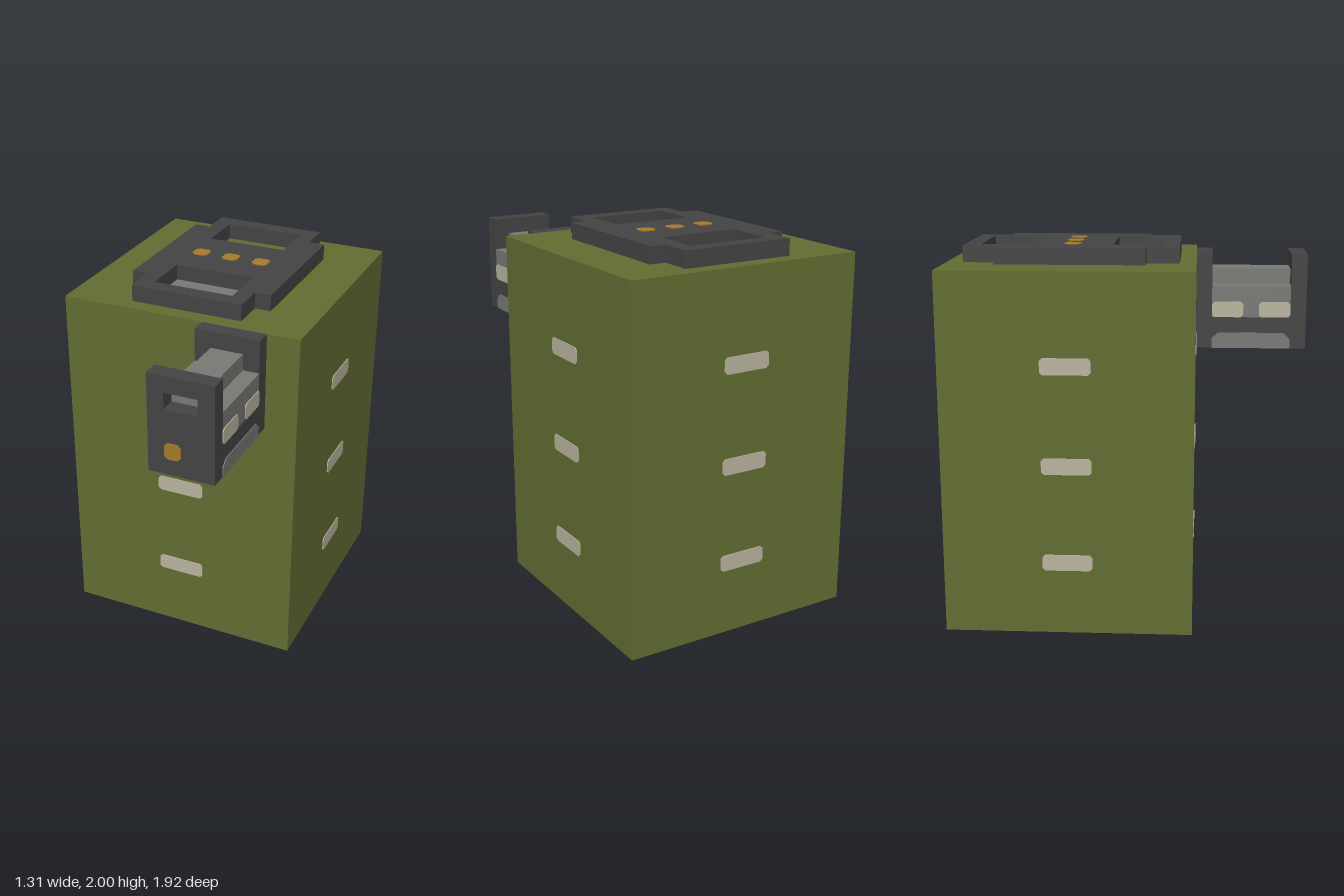
import * as THREE from 'three';

const U = 2 / 46; // modelling unit: the whole height is 46 units
const THIN = 0.1; // thickness of painted plates, in units

const paint = (name, hex) => {
  const m = new THREE.MeshStandardMaterial({ color: hex });
  m.name = name;
  return m;
};

export function createModel() {
  const olive = paint('olive', 0x626e33);
  const dark = paint('charcoal', 0x444444);
  const grey = paint('grey', 0x797a76);
  const beige = paint('beige', 0xbbb5a0);
  const amber = paint('amber', 0xa67b2b);

  const root = new THREE.Group();
  root.name = 'canister';
  const model = new THREE.Group();
  model.name = 'parts';
  model.scale.setScalar(U);
  root.add(model);

  const add = (name, geometry, material, parent = model) => {
    const mesh = new THREE.Mesh(geometry, material);
    mesh.name = name;
    parent.add(mesh);
    return mesh;
  };
  // Box given by its minimum and maximum corners
  const box = (name, material, [x0, y0, z0], [x1, y1, z1], parent) =>
    add(name, new THREE.BoxGeometry(x1 - x0, y1 - y0, z1 - z0)
      .translate((x0 + x1) / 2, (y0 + y1) / 2, (z0 + z1) / 2), material, parent);
  const polygon = (points) => points.map(([x, y]) => new THREE.Vector2(x, y));
  const rect = (x0, y0, x1, y1) => polygon([[x0, y0], [x1, y0], [x1, y1], [x0, y1]]);
  const plate = (outline, holes, depth) => {
    const shape = new THREE.Shape(outline);
    holes.forEach((h) => shape.holes.push(new THREE.Path(h)));
    return new THREE.ExtrudeGeometry(shape, { depth, bevelEnabled: false });
  };
  // Painted patch with cut corners, centred, facing +z; b is the lower corner cut
  const patch = (w, h, c = 0.33, b = c) => plate(polygon([
    [-w / 2 + b, -h / 2], [w / 2 - b, -h / 2], [w / 2, -h / 2 + b], [w / 2, h / 2 - c],
    [w / 2 - c, h / 2], [-w / 2 + c, h / 2], [-w / 2, h / 2 - c], [-w / 2, -h / 2 + b],
  ].filter((p, i, a) => i === 0 || p[0] !== a[i - 1][0] || p[1] !== a[i - 1][1])), [], THIN);

  // Main body
  box('body', olive, [-15, 0, -22], [15, 44, 8]);

  // Three pale slots on each of the four walls
  for (let side = 0; side < 4; side++) {
    const wall = new THREE.Group();
    wall.name = 'wallSlots';
    wall.position.z = -7;
    wall.rotation.y = side * Math.PI / 2;
    model.add(wall);
    for (const y of [9, 21, 33]) add('slot', patch(6, 2), beige, wall).position.set(0, y, 15);
  }

  // Lid frame with two windows
  const frame = plate(
    polygon([[-7, -20], [7, -20], [7, -16], [9, -16], [9, 2], [7, 2],
      [7, 6], [-7, 6], [-7, 2], [-9, 2], [-9, -16], [-7, -16]]),
    [rect(-5, -18, 5, -12), rect(-5, -2, 5, 4)], 2);
  add('lidFrame', frame.rotateX(Math.PI / 2), dark).position.y = 46;
  for (const z of [-14, -2]) {
    box('windowStrip', grey, [-5, 44, z], [5, 44 + THIN, z + 2]);
  }

  // Amber lights on the lid
  for (const x of [-4, 0, 4]) {
    add('lidLight', patch(2, 2, 0.4).rotateX(-Math.PI / 2), amber).position.set(x, 46, -7);
  }

  // Latch unit on the front wall
  const latch = new THREE.Group();
  latch.name = 'latch';
  model.add(latch);
  box('latchBackPlate', dark, [3, 32, 8], [11, 44, 10], latch);
  box('latchBase', dark, [3, 32, 10], [11, 36, 20], latch);
  box('latchCore', grey, [3, 36, 10], [11, 40, 20], latch);
  box('latchRidge', grey, [5, 40, 10], [9, 42, 20], latch);
  add('latchFrontPlate', plate(rect(3, 32, 11, 44), [rect(5, 40, 9, 42)], 2), dark, latch)
    .position.z = 20;
  add('latchLight', patch(2, 2, 0.4), amber, latch).position.set(6, 35, 22);

  // Painted patches on both sides of the latch
  for (const s of [-1, 1]) {
    const flank = new THREE.Group();
    flank.name = 'latchFlank';
    flank.position.set(7 + 4 * s, 0, 15);
    flank.rotation.y = s * Math.PI / 2;
    latch.add(flank);
    for (const x of [-3, 3]) add('flankMark', patch(4, 2), beige, flank).position.set(x, 37, 0);
    add('flankPanel', patch(10, 2, 0.8, 0), grey, flank).position.set(0, 33, 0);
  }

  return root;
}
